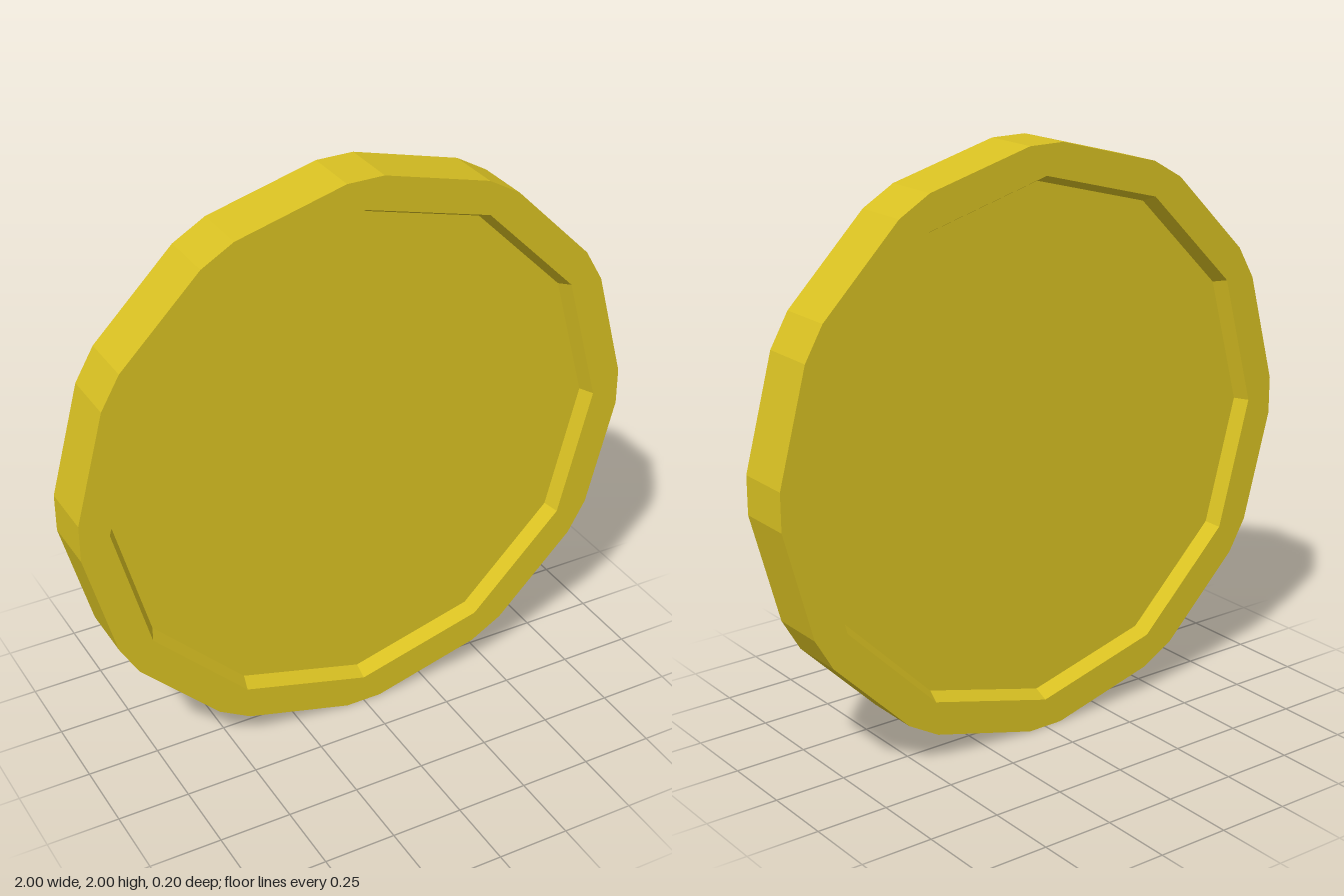
import * as THREE from 'three';

const SIDES = 12, HALF = 0.1, DEPTH = 0.05;
const OUTER = 1.002, RIM_INNER = 0.9, FLOOR = 0.877;

// Corners come in close pairs around every 30 degrees: a 12-gon with clipped corners
const cornerAngle = i =>
  Math.floor(i / 2) * (Math.PI * 2 / SIDES) + THREE.MathUtils.degToRad(i % 2 ? 3.72 : -3.72);

function ringPoints(count, radius, angle) {
  return Array.from({ length: count }, (_, i) =>
    new THREE.Vector2(Math.cos(angle(i)) * radius, Math.sin(angle(i)) * radius));
}

export function createModel() {
  const model = new THREE.Group();
  model.name = 'coin';
  const gold = new THREE.MeshStandardMaterial({ color: 0xd8c022, flatShading: true });
  const goldOpen = gold.clone();
  goldOpen.side = THREE.DoubleSide;

  const add = (parent, name, geometry, material = gold) => {
    const mesh = new THREE.Mesh(geometry, material);
    mesh.name = name;
    parent.add(mesh);
    return mesh;
  };

  // Outer edge: open 24-sided band whose corners slide into pairs
  const band = new THREE.CylinderGeometry(OUTER, OUTER, HALF * 2, SIDES * 2, 1, true);
  const pos = band.attributes.position;
  for (let j = 0; j < pos.count; j++) {
    const a = cornerAngle(j % (SIDES * 2 + 1));
    pos.setX(j, Math.sin(a) * OUTER);
    pos.setZ(j, Math.cos(a) * OUTER);
  }
  band.rotateX(Math.PI / 2);
  add(model, 'outerEdge', band, goldOpen);

  // Flat raised rim around the recess
  const rimShape = new THREE.Shape(ringPoints(SIDES * 2, OUTER, cornerAngle));
  rimShape.holes.push(new THREE.Path(
    ringPoints(SIDES, RIM_INNER, i => i * Math.PI * 2 / SIDES)));
  const rim = new THREE.ShapeGeometry(rimShape);
  rim.translate(0, 0, HALF);

  // Sloped wall down to the recessed floor
  const wall = new THREE.CylinderGeometry(RIM_INNER, FLOOR, DEPTH, SIDES, 1, true);
  wall.rotateX(Math.PI / 2);
  wall.translate(0, 0, HALF - DEPTH / 2);

  const floor = new THREE.CircleGeometry(FLOOR, SIDES);
  floor.translate(0, 0, HALF - DEPTH);

  // Same face on front and back
  for (const [name, turn] of [['frontFace', 0], ['backFace', Math.PI]]) {
    const face = new THREE.Group();
    face.name = name;
    add(face, 'rim', rim);
    add(face, 'recessWall', wall, goldOpen);
    add(face, 'recessFloor', floor);
    face.rotation.y = turn;
    model.add(face);
  }

  // Stand the disc on the ground
  model.children.forEach(part => { part.position.y = 1; });
  return model;
}
